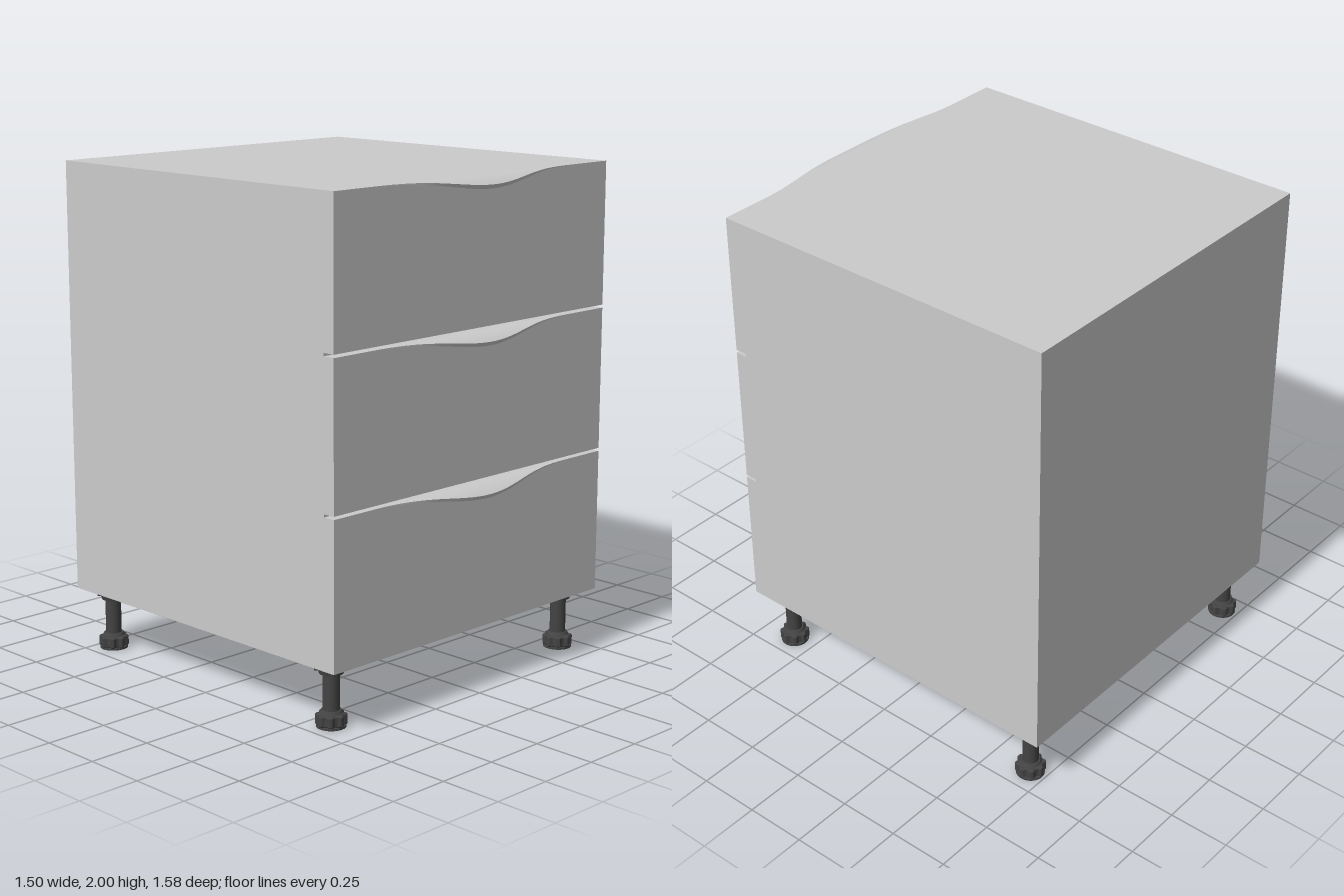
import * as THREE from 'three';

const grey = new THREE.MeshStandardMaterial({ color: 0xcccccc });
const dark = new THREE.MeshStandardMaterial({ color: 0x444444 });

const WIDTH = 1.5, BACK = -0.79, CARCASS_FRONT = 0.66, FRONT = 0.71;
const BOTTOM = 0.25, TOP = 2;

function add(parent, name, geometry, material, x = 0, y = 0, z = 0) {
  const mesh = new THREE.Mesh(geometry, material);
  mesh.name = name;
  mesh.position.set(x, y, z);
  parent.add(mesh);
  return mesh;
}

function box(parent, name, y0, y1, z0, z1) {
  add(parent, name, new THREE.BoxGeometry(WIDTH, y1 - y0, z1 - z0), grey, 0, (y0 + y1) / 2, (z0 + z1) / 2);
}

// Grid of quads from a function of (u, v) in 0..1
function surface(nu, nv, point) {
  const pos = [], index = [];
  for (let i = 0; i <= nu; i++)
    for (let j = 0; j <= nv; j++) pos.push(...point(i / nu, j / nv));
  for (let i = 0; i < nu; i++)
    for (let j = 0; j < nv; j++) {
      const a = i * (nv + 1) + j, b = a + nv + 1;
      index.push(a, a + 1, b, b, a + 1, b + 1);
    }
  const g = new THREE.BufferGeometry();
  g.setAttribute('position', new THREE.Float32BufferAttribute(pos, 3));
  g.setIndex(index);
  g.computeVertexNormals();
  return g;
}

// Pull lip: a bell-shaped plan whose section curls down towards the edge
function makeLip() {
  const lip = new THREE.Group();
  lip.name = 'handleLip';
  const half = 0.53, reach = 0.08;
  const bell = (u) => 0.5 * (1 + Math.cos(Math.PI * (2 * u - 1)));
  const upper = (u, v) => {
    const d = reach * bell(u) * v;
    return [half * (2 * u - 1), -0.028 * (d / reach) ** 2, d];
  };
  const lower = (u, v) => {
    const [x, y, d] = upper(u, v), s = d / reach;
    return [x, y - 0.003 - 0.013 * s, d - 0.01 * s * s];
  };
  const mat = grey.clone();
  mat.side = THREE.DoubleSide;
  add(lip, 'lipTop', surface(48, 10, upper), mat);
  add(lip, 'lipUnderside', surface(48, 10, (u, v) => lower(u, 1 - v)), mat);
  add(lip, 'lipEdge', surface(48, 1, (u, v) => (v < 0.5 ? upper(u, 1) : lower(u, 1))), mat);
  return lip;
}

// Lobed adjusting foot outline
function footGeometry() {
  const shape = new THREE.Shape(), lobes = 8, steps = 64;
  for (let i = 0; i < steps; i++) {
    const a = (i / steps) * Math.PI * 2;
    const r = 0.055 + 0.005 * Math.tanh(3 * Math.cos(lobes * a));
    shape[i ? 'lineTo' : 'moveTo'](r * Math.cos(a), r * Math.sin(a));
  }
  const g = new THREE.ExtrudeGeometry(shape, {
    depth: 0.035, bevelEnabled: true, bevelSize: 0.004, bevelThickness: 0.004, bevelOffset: -0.004, bevelSegments: 1,
  });
  return g.rotateX(-Math.PI / 2);
}

function makeLeg() {
  const leg = new THREE.Group();
  const disc = (name, r0, r1, y0, y1) =>
    add(leg, name, new THREE.CylinderGeometry(r1, r0, y1 - y0, 32), dark, 0, (y0 + y1) / 2, 0);
  disc('footPad', 0.057, 0.057, 0, 0.008);
  add(leg, 'adjustingFoot', footGeometry(), dark, 0, 0.012, 0);
  disc('footCollar', 0.045, 0.038, 0.055, 0.066);
  disc('legStem', 0.032, 0.032, 0.008, 0.212);
  disc('socket', 0.046, 0.052, 0.208, 0.238);
  disc('mountingFlange', 0.068, 0.068, 0.237, BOTTOM);
  // Ribs round the socket
  for (let i = 0; i < 4; i++) {
    const a = (i * Math.PI) / 2 + Math.PI / 4;
    const rib = add(leg, 'socketRib', new THREE.BoxGeometry(0.02, 0.022, 0.008), dark,
      0.054 * Math.cos(a), 0.228, 0.054 * Math.sin(a));
    rib.rotation.y = -a;
  }
  return leg;
}

export function createModel() {
  const model = new THREE.Group();
  model.name = 'drawerCabinet';

  box(model, 'carcass', BOTTOM, TOP, BACK, CARCASS_FRONT);

  // Three drawers separated by narrow gaps
  const fronts = [[BOTTOM, 0.83], [0.842, 1.416], [1.428, TOP]];
  for (const [y0, y1] of fronts) {
    const drawer = new THREE.Group();
    drawer.name = 'drawer';
    box(drawer, 'drawerFront', y0, y1, CARCASS_FRONT, FRONT);
    const lip = makeLip();
    lip.position.set(0, y1, FRONT);
    drawer.add(lip);
    model.add(drawer);
  }

  // Legs at the four corners
  for (const x of [-0.653, 0.653])
    for (const z of [0.597, -0.682]) {
      const leg = makeLeg();
      leg.name = (z > 0 ? 'front' : 'back') + (x > 0 ? 'Left' : 'Right') + 'Leg';
      leg.position.set(x, 0, z);
      model.add(leg);
    }
  return model;
}
